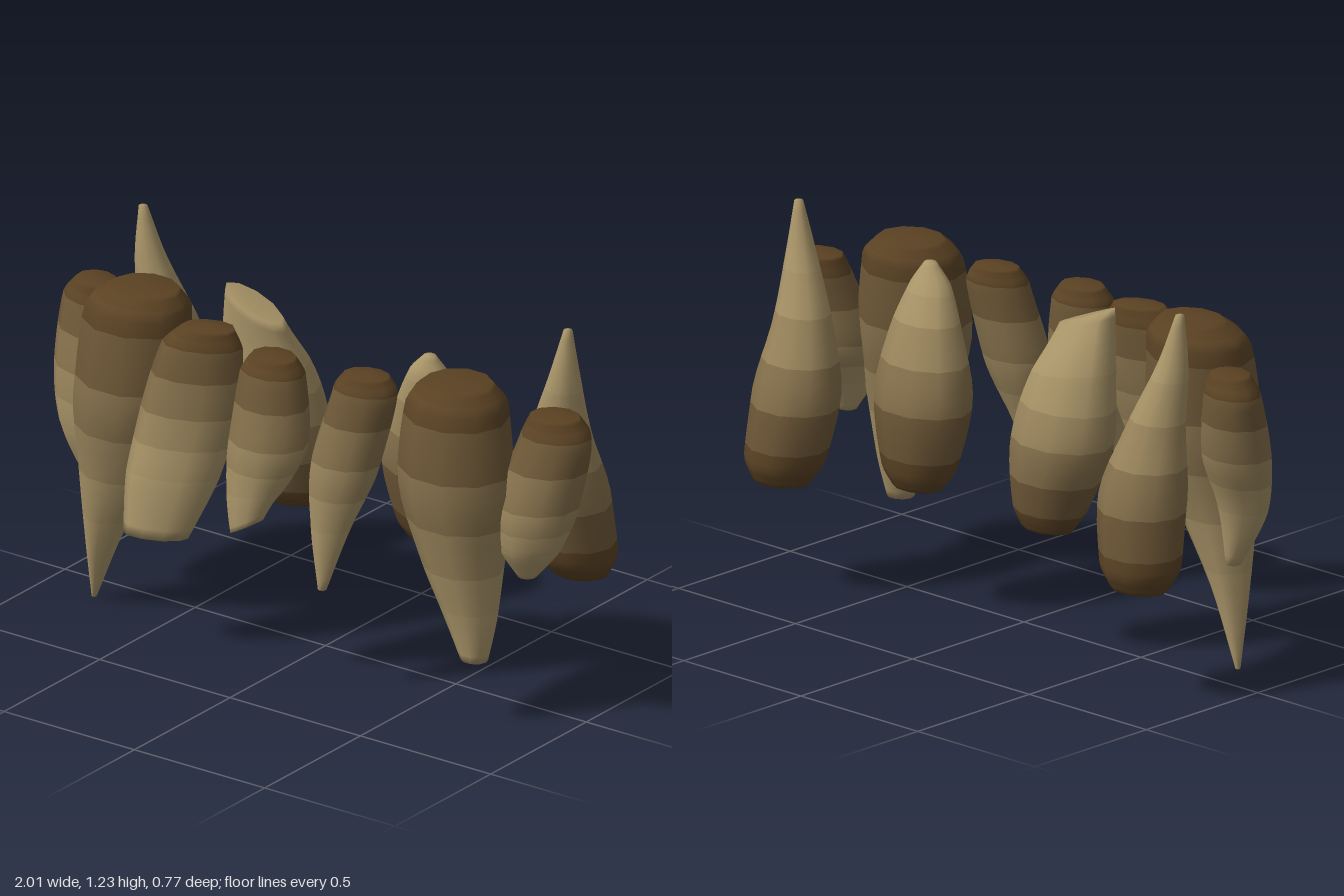
import * as THREE from 'three';

const SIDES = 10, STEPS = 24, BANDS = 8;
const ROOT = new THREE.Color(0x5a4122), TIP = new THREE.Color(0xac976a);

// Tones running from the dark root to the pale tip
const tones = Array.from({ length: BANDS }, (_, i) => new THREE.MeshStandardMaterial({
  color: ROOT.clone().lerp(TIP, THREE.MathUtils.smoothstep(i / (BANDS - 1), 0.08, 0.85)),
}));

// One tooth, lofted through oval sections listed root to tip: [x, y, z, rx, rz].
// yaw turns the ovals, slope slants the biting end along x, dent hollows it.
function tooth(name, rings, { yaw = 0, slope = 0, dent = -0.004 } = {}) {
  const dir = Math.sign(rings[rings.length - 1][1] - rings[0][1]);
  const path = new THREE.CatmullRomCurve3(rings.map(r => new THREE.Vector3(r[0], r[1], r[2])));
  const size = new THREE.CatmullRomCurve3(rings.map(r => new THREE.Vector3(r[3], r[4], 0)));
  const c = Math.cos(yaw), s = Math.sin(yaw), pos = [];
  for (let i = 0; i <= STEPS; i++) {
    const t = i / STEPS, p = path.getPoint(t), r = size.getPoint(t);
    const slant = slope * THREE.MathUtils.smoothstep(t, 0.6, 1);
    for (let j = 0; j < SIDES; j++) {
      const a = (j / SIDES) * Math.PI * 2;
      const u = Math.max(r.x, 0.004) * Math.cos(a);
      const v = Math.max(r.y, 0.004) * Math.sin(a) * dir;
      const dx = u * c - v * s;
      pos.push(p.x + dx, p.y + slant * dx, p.z + u * s + v * c);
    }
  }
  // Centre points closing the root and the biting end
  const first = rings[0], last = rings[rings.length - 1];
  const rootC = pos.length / 3, tipC = rootC + 1;
  pos.push(first[0], first[1] - dir * 0.006, first[2]);
  pos.push(last[0], last[1] - dir * dent, last[2]);

  const bands = Array.from({ length: BANDS }, () => []);
  for (let j = 0; j < SIDES; j++) {
    const k = (j + 1) % SIDES;
    bands[0].push(rootC, j, k);
    for (let i = 0; i < STEPS; i++) {
      const a = i * SIDES, b = a + SIDES;
      bands[Math.floor(i * BANDS / STEPS)].push(a + j, b + j, a + k, a + k, b + j, b + k);
    }
    bands[BANDS - 1].push(tipC, STEPS * SIDES + k, STEPS * SIDES + j);
  }
  // Normals come from the whole tooth so the tone bands join smoothly
  const whole = new THREE.BufferGeometry();
  whole.setAttribute('position', new THREE.Float32BufferAttribute(pos, 3));
  whole.setIndex(bands.flat());
  whole.computeVertexNormals();
  const group = new THREE.Group();
  group.name = name;
  bands.forEach((index, i) => {
    const g = whole.clone();
    g.setIndex(index);
    const mesh = new THREE.Mesh(g, tones[i]);
    mesh.name = i < 3 ? 'root' : i < 6 ? 'crown' : 'tip';
    group.add(mesh);
  });
  return group;
}

// Upper teeth: roots at the top, tips down
function upperTeeth() {
  const g = new THREE.Group();
  g.name = 'upperTeeth';
  g.add(
    tooth('upperRightMolar', [
      [-0.88, 1.01, 0.0, 0.07, 0.06], [-0.89, 0.95, 0.0, 0.11, 0.085],
      [-0.87, 0.74, 0.04, 0.135, 0.105], [-0.86, 0.55, 0.08, 0.1, 0.075],
      [-0.83, 0.36, 0.07, 0.025, 0.025]], { yaw: 0.3 }),
    tooth('upperRightCanine', [
      [-0.60, 1.10, 0.12, 0.11, 0.09], [-0.62, 1.04, 0.13, 0.175, 0.145],
      [-0.63, 0.76, 0.15, 0.192, 0.165], [-0.67, 0.5, 0.16, 0.14, 0.115],
      [-0.74, 0.24, 0.15, 0.06, 0.06], [-0.80, 0.0, 0.12, 0.008, 0.008]]),
    tooth('upperRightIncisor', [
      [-0.31, 1.06, 0.19, 0.085, 0.055], [-0.325, 1.0, 0.2, 0.13, 0.075],
      [-0.35, 0.78, 0.23, 0.16, 0.085], [-0.38, 0.58, 0.28, 0.15, 0.075],
      [-0.41, 0.38, 0.33, 0.105, 0.045]], { yaw: -0.35, dent: 0.03 }),
    tooth('upperMiddleIncisor', [
      [-0.03, 1.05, 0.23, 0.075, 0.06], [-0.03, 1.0, 0.235, 0.11, 0.085],
      [-0.02, 0.78, 0.27, 0.132, 0.11], [-0.035, 0.62, 0.32, 0.1, 0.07],
      [-0.045, 0.51, 0.35, 0.06, 0.035]], { slope: 0.6 }),
    tooth('upperLeftIncisor', [
      [0.29, 1.05, 0.18, 0.075, 0.055], [0.29, 1.0, 0.185, 0.108, 0.075],
      [0.24, 0.76, 0.22, 0.115, 0.09], [0.21, 0.54, 0.26, 0.065, 0.055],
      [0.2, 0.34, 0.29, 0.014, 0.014]], { yaw: -0.2 }),
    tooth('upperLeftCanine', [
      [0.60, 1.085, 0.12, 0.11, 0.1], [0.6, 1.03, 0.13, 0.165, 0.145],
      [0.615, 0.78, 0.155, 0.19, 0.165], [0.65, 0.52, 0.17, 0.14, 0.12],
      [0.69, 0.32, 0.18, 0.085, 0.07], [0.71, 0.2, 0.19, 0.045, 0.04]], { dent: 0.015 }),
    tooth('upperLeftMolar', [
      [0.88, 1.0, 0.0, 0.08, 0.065], [0.89, 0.94, 0.005, 0.115, 0.09],
      [0.855, 0.72, 0.06, 0.138, 0.12], [0.85, 0.58, 0.09, 0.1, 0.085],
      [0.84, 0.48, 0.09, 0.03, 0.03]], { yaw: -0.3 }));
  return g;
}

// Lower teeth: roots at the bottom, tips up
function lowerTeeth() {
  const g = new THREE.Group();
  g.name = 'lowerTeeth';
  // Mirrored outer fangs
  for (const s of [1, -1]) {
    const x = s > 0 ? 0 : 0.01;
    g.add(tooth(s > 0 ? 'lowerLeftFang' : 'lowerRightFang', [
      [s * (0.77 - x), 0.35, -0.28, 0.1, 0.08], [s * (0.765 - x), 0.42, -0.27, 0.135, 0.118],
      [s * (0.745 - x), 0.62, -0.24, 0.148, 0.128], [s * (0.76 - x), 0.85, -0.195, 0.1, 0.085],
      [s * (0.80 - x), 1.06, -0.16, 0.05, 0.045], [s * (0.82 - x), 1.22, -0.15, 0.014, 0.014]]));
  }
  g.add(
    tooth('lowerRightIncisor', [
      [-0.23, 0.39, -0.135, 0.095, 0.065], [-0.235, 0.45, -0.13, 0.13, 0.095],
      [-0.27, 0.68, -0.11, 0.18, 0.135], [-0.28, 0.9, -0.07, 0.155, 0.1],
      [-0.29, 1.07, -0.02, 0.105, 0.06]], { slope: -0.4, dent: 0.03 }),
    tooth('lowerLeftIncisor', [
      [0.33, 0.395, -0.13, 0.09, 0.065], [0.33, 0.45, -0.125, 0.13, 0.095],
      [0.335, 0.68, -0.1, 0.172, 0.13], [0.37, 0.89, -0.05, 0.125, 0.09],
      [0.39, 1.02, -0.01, 0.07, 0.05], [0.4, 1.08, 0.0, 0.02, 0.018]]));
  return g;
}

export function createModel() {
  const model = new THREE.Group();
  model.name = 'teeth';
  model.add(upperTeeth(), lowerTeeth());
  return model;
}
